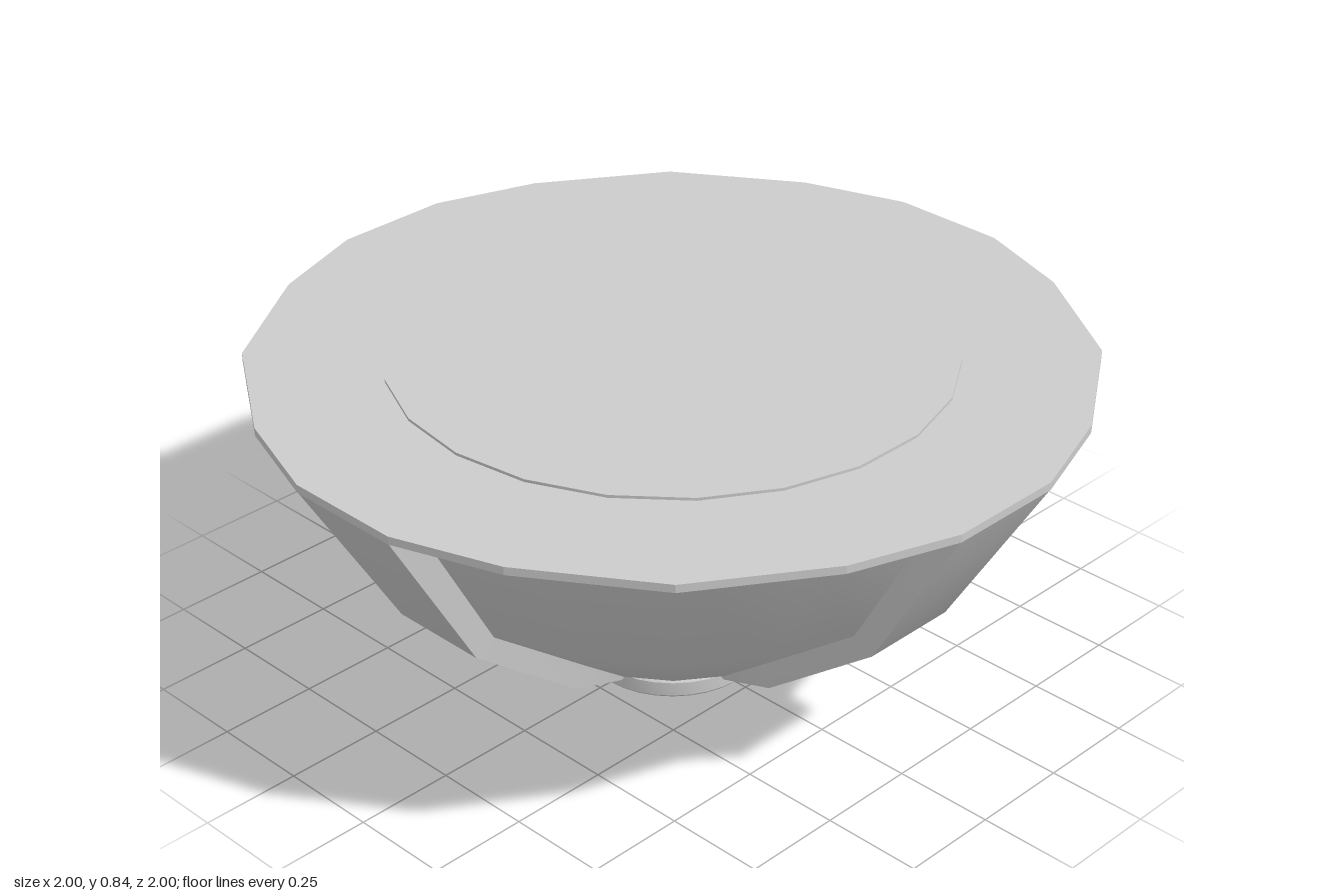
import * as THREE from 'three';
import { toCreasedNormals } from 'three/addons/utils/BufferGeometryUtils.js';

const material = new THREE.MeshStandardMaterial({ color: 0xcccccc });

function add(parent, name, geometry) {
  const mesh = new THREE.Mesh(geometry, material);
  mesh.name = name;
  parent.add(mesh);
  return mesh;
}

const lathe = (points, sides, phi = 0) =>
  new THREE.LatheGeometry(points.map(([r, y]) => new THREE.Vector2(r, y)), sides, phi);

// Rib along +x: each section gives outer radius and height, inner radius and height, half width
function ribGeometry() {
  const sections = [
    [0.22, 0.03, 0.13, 0.06, 0.045],
    [0.40, 0.11, 0.35, 0.17, 0.08],
    [0.75, 0.39, 0.68, 0.43, 0.127],
    [1.00, 0.812, 0.90, 0.812, 0.15],
  ];
  const rings = sections.map(([r, y, ri, yi, w]) =>
    [[r, y, w], [r, y, -w], [ri, yi, -w], [ri, yi, w]]);
  const position = [];
  const quad = (a, b, c, d) => position.push(...a, ...b, ...c, ...a, ...c, ...d);
  for (let i = 0; i < rings.length - 1; i++) {
    const low = rings[i], high = rings[i + 1];
    for (let k = 0; k < 4; k++) {
      const n = (k + 1) % 4;
      quad(low[k], low[n], high[n], high[k]);
    }
  }
  const [a, b, c, d] = rings[0];
  quad(a, d, c, b);
  const geometry = new THREE.BufferGeometry();
  geometry.setAttribute('position', new THREE.Float32BufferAttribute(position, 3));
  return toCreasedNormals(geometry, 0.4);
}

// Flat rim plate: five corners per quarter, with a straight edge over each rib
function rimGeometry() {
  const quarter = [[1, 0.15], [0.91, 0.41], [0.71, 0.71], [0.41, 0.91], [0.15, 1]];
  const outline = [];
  for (let q = 0; q < 4; q++) {
    for (const [x, y] of quarter) {
      outline.push(new THREE.Vector2(x, y).rotateAround(new THREE.Vector2(), q * Math.PI / 2));
    }
  }
  const geometry = new THREE.ExtrudeGeometry(new THREE.Shape(outline), { depth: 0.02, bevelEnabled: false });
  return geometry.rotateX(-Math.PI / 2).translate(0, 0.81, 0);
}

export function createModel() {
  const model = new THREE.Group();
  model.name = 'ribbedBowl';

  // Round foot with a slightly softened edge
  add(model, 'foot', toCreasedNormals(
    lathe([[0, 0], [0.215, 0], [0.22, 0.006], [0.22, 0.042], [0.21, 0.052], [0, 0.052]], 32), 0.6));

  // Smooth bowl wall, recessed between the ribs
  add(model, 'bowlWall',
    lathe([[0.14, 0.045], [0.38, 0.16], [0.71, 0.42], [0.932, 0.812]], 20, Math.PI / 20));

  // Four ribs
  const ribs = new THREE.Group();
  ribs.name = 'ribs';
  const rib = ribGeometry();
  for (let i = 0; i < 4; i++) add(ribs, 'rib', rib).rotation.y = i * Math.PI / 2;
  model.add(ribs);

  // Rim plate and the low round disc on it
  add(model, 'rimPlate', rimGeometry());
  add(model, 'topDisc', new THREE.CylinderGeometry(0.675, 0.675, 0.02, 22).translate(0, 0.827, 0));

  return model;
}
